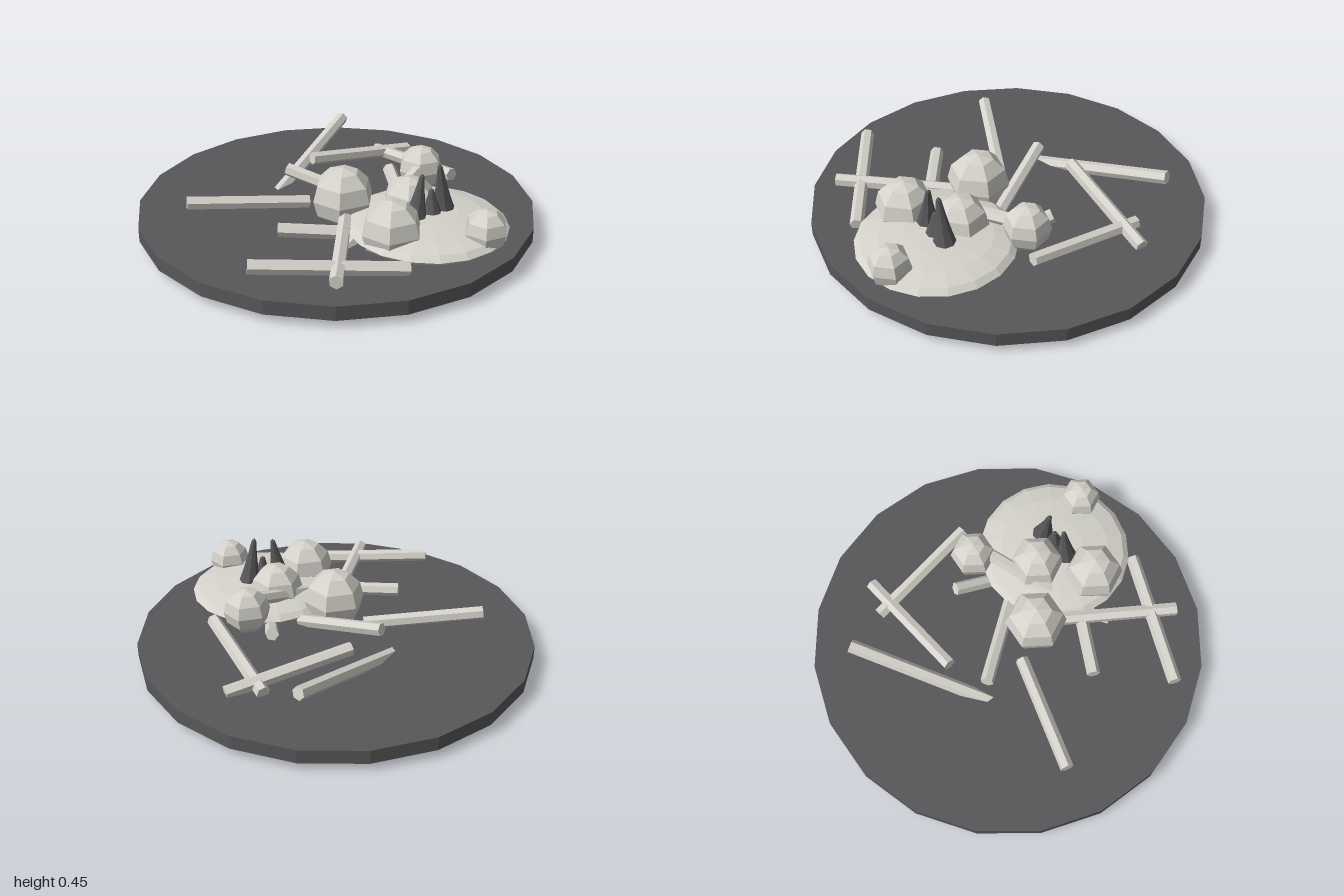
import * as THREE from 'three';

const pale = new THREE.MeshStandardMaterial({ color: 0xd4d2ca });
pale.name = 'pale bone';
const dark = new THREE.MeshStandardMaterial({ color: 0x58585a });
dark.name = 'dark ash';

export function createModel() {
  const model = new THREE.Group();

  // Flat-shaded mesh helper
  const add = (name, geometry, material, parent = model) => {
    const flat = geometry.index ? geometry.toNonIndexed() : geometry;
    flat.computeVertexNormals();
    const mesh = new THREE.Mesh(flat, material);
    mesh.name = name;
    parent.add(mesh);
    return mesh;
  };

  // Twenty-sided ground disc
  add('groundDisc', new THREE.CylinderGeometry(1, 1, 0.07, 20), dark).position.y = 0.075;

  // Flattened mound
  const mound = add('mound', new THREE.SphereGeometry(1, 18, 8), pale);
  mound.scale.set(0.395, 0.065, 0.39);
  mound.position.set(0, 0.148, 0.54);

  // Faceted boulders: x, y, z, radius
  const boulders = new THREE.Group();
  boulders.name = 'boulders';
  model.add(boulders);
  [
    [-0.10, 0.205, 0.115, 0.158],
    [-0.245, 0.2, 0.495, 0.15],
    [0.04, 0.2, 0.41, 0.14],
    [0.345, 0.245, 0.285, 0.118],
    [0, 0.205, 0.85, 0.106],
  ].forEach(([x, y, z, r]) => {
    const geometry = new THREE.SphereGeometry(r, 6, 6).rotateY(Math.PI / 6);
    add('boulder', geometry, pale, boulders).position.set(x, y, z);
  });

  // Scattered six-sided sticks, each from one end to the other
  const sticks = new THREE.Group();
  sticks.name = 'sticks';
  model.add(sticks);
  const up = new THREE.Vector3(0, 1, 0);
  [
    [[-0.57, 0.18, -0.49], [-0.12, 0.13, -0.08]],
    [[-0.28, 0.03, -0.3], [0.66, 0.255, -0.44]],
    [[0.18, 0.205, -0.29], [0.77, 0.12, -0.06]],
    [[0.65, 0.125, -0.19], [0.47, 0.19, 0.4]],
    [[-0.03, 0.22, -0.29], [0.08, 0.12, 0.18]],
    [[-0.48, 0.15, 0.01], [-0.25, 0.13, 0.32]],
    [[-0.71, 0.155, 0.52], [-0.15, 0.15, 0.17]],
    [[-0.86, 0.175, 0.15], [-0.39, 0.13, 0.69]],
    [[0.35, 0.19, 0.09], [0.12, 0.05, 0.37]],
    [[-0.61, 0.03, 0.32], [0.31, 0.275, 0.315]],
  ].forEach(([a, b]) => {
    const from = new THREE.Vector3(...a);
    const axis = new THREE.Vector3(...b).sub(from);
    const stick = add('stick', new THREE.CylinderGeometry(0.034, 0.034, axis.length(), 6), pale, sticks);
    stick.position.copy(from).addScaledVector(axis, 0.5);
    stick.quaternion.setFromUnitVectors(up, axis.normalize());
  });

  // Flared, leaning spikes: base, then tip
  const spikes = new THREE.Group();
  spikes.name = 'spikes';
  model.add(spikes);
  const profile = [[0, 0], [0.062, 0], [0.042, 0.3], [0.024, 0.65], [0.012, 0.95], [0, 1]];
  [
    [[-0.08, 0.18, 0.515], [-0.045, 0.42, 0.53]],
    [[0.01, 0.18, 0.555], [0.01, 0.33, 0.55]],
    [[0.09, 0.18, 0.575], [0.05, 0.445, 0.565]],
  ].forEach(([base, tip]) => {
    const geometry = new THREE.LatheGeometry(profile.map(([r, t]) => new THREE.Vector2(r, t)), 8);
    const p = geometry.attributes.position;
    for (let i = 0; i < p.count; i++) {
      const t = p.getY(i);
      p.setXYZ(i,
        p.getX(i) + base[0] + (tip[0] - base[0]) * t,
        base[1] + (tip[1] - base[1]) * t,
        p.getZ(i) + base[2] + (tip[2] - base[2]) * t);
    }
    add('spike', geometry, dark, spikes);
  });

  return model;
}
